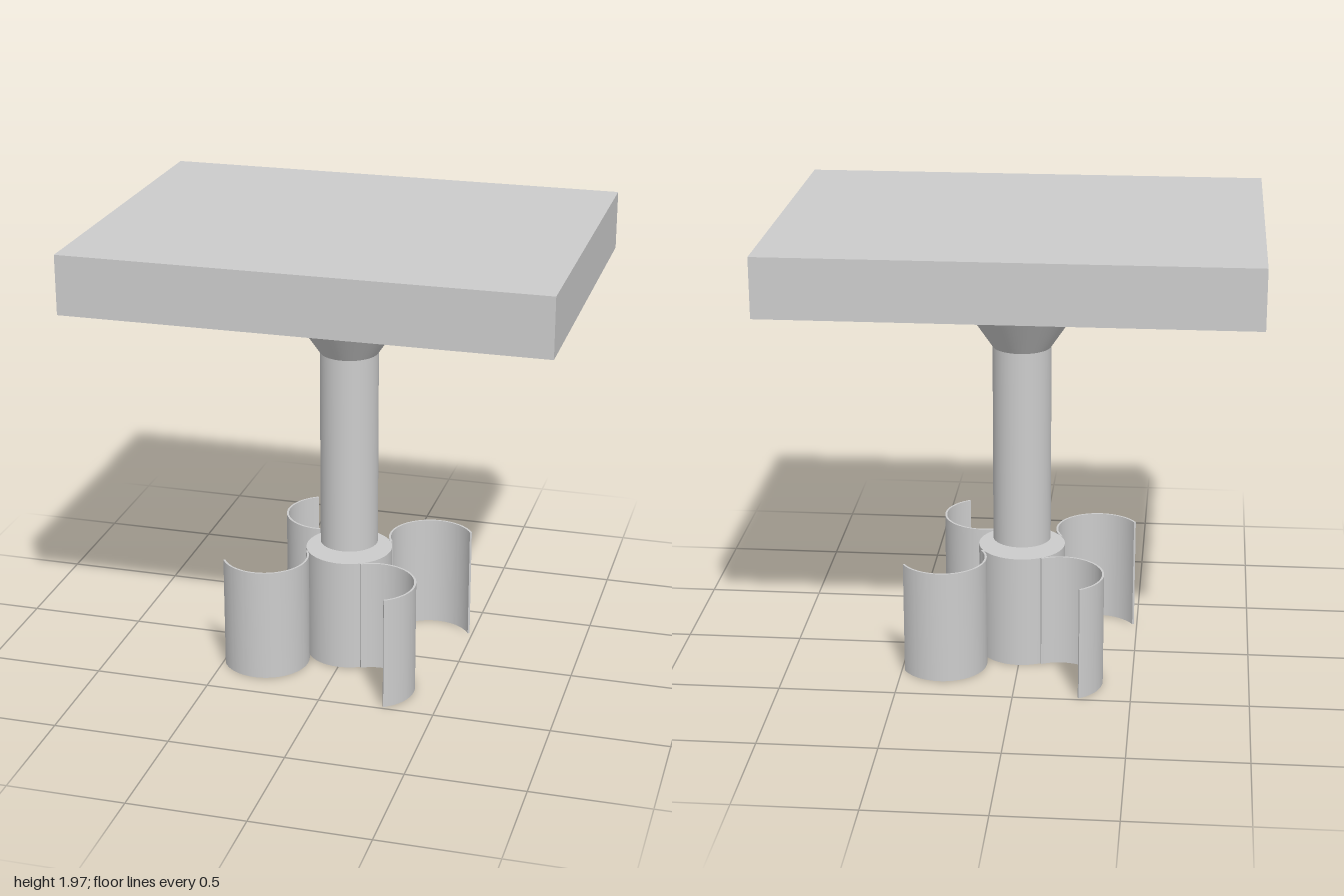
import * as THREE from 'three';
import { toCreasedNormals } from 'three/addons/utils/BufferGeometryUtils.js';

export function createModel() {
  const model = new THREE.Group();
  model.name = 'pedestalRotor';
  const grey = new THREE.MeshStandardMaterial({ color: 0xcccccc });
  grey.name = 'light grey';

  const add = (name, geometry, y = 0) => {
    const mesh = new THREE.Mesh(geometry, grey);
    mesh.name = name;
    mesh.position.y = y;
    model.add(mesh);
    return mesh;
  };

  // Cylinder or cone standing between two heights
  const column = (name, rTop, rBottom, y0, y1) =>
    add(name, new THREE.CylinderGeometry(rTop, rBottom, y1 - y0, 64), (y0 + y1) / 2);

  // Rectangular slab on top
  add('slab', new THREE.BoxGeometry(2, 0.25, 1.5), 1.845);

  // Collar, cone and shaft below the slab
  column('collar', 0.25, 0.25, 1.59, 1.72);
  column('cone', 0.25, 0.125, 1.405, 1.59);
  column('shaft', 0.125, 0.125, 0.53, 1.405);

  // Thin pin joining shaft and hub
  column('pin', 0.003, 0.003, 0.48, 0.55);

  // Rotor hub
  const R = 0.1875, H = 0.5;
  column('hub', R, R, 0, H);

  // Four half-round blades around the hub
  const arc = new THREE.Shape();
  arc.absarc(2 * R, 0, R, 0, Math.PI, false);
  arc.absarc(2 * R, 0, R - 0.009, Math.PI, 0, true);
  arc.closePath();
  const blade = toCreasedNormals(
    new THREE.ExtrudeGeometry(arc, { depth: H, bevelEnabled: false, curveSegments: 32 }).rotateX(-Math.PI / 2),
    Math.PI / 6
  );
  for (let i = 0; i < 4; i++) {
    add(`blade${i + 1}`, blade).rotation.y = -Math.PI / 3 + (i * Math.PI) / 2;
  }
  return model;
}
